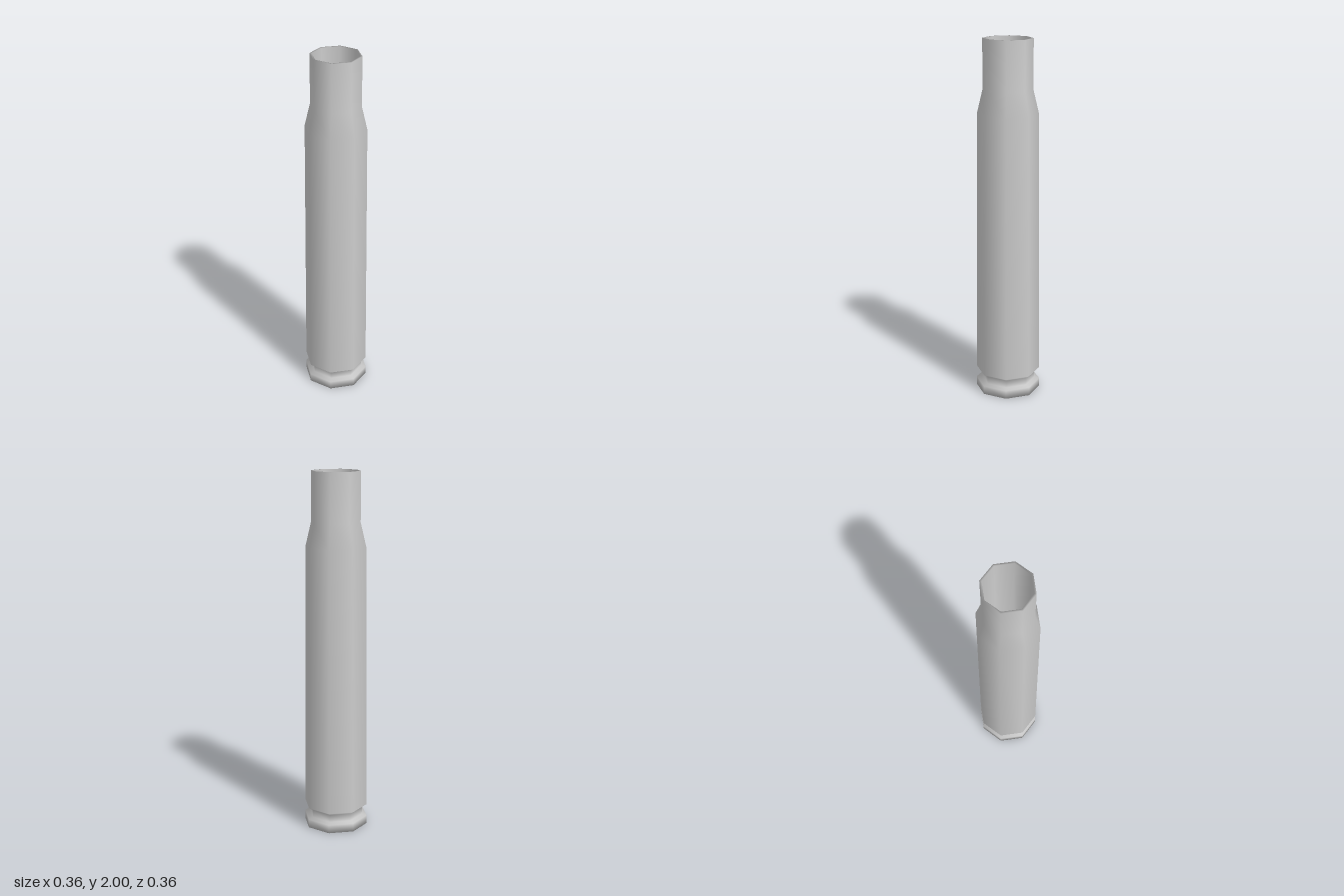
import * as THREE from 'three';

export function createModel() {
  const group = new THREE.Group();
  group.name = 'cartridgeCase';

  // Profile [radius, height]: up the outside, over the mouth, down the bore
  const profile = [
    [0, 0], [0.182, 0],                              // base
    [0.182, 0.048], [0.153, 0.055],                  // extractor rim
    [0.153, 0.098], [0.18, 0.116],                   // groove
    [0.167, 1.6],                                    // tapering body
    [0.136, 1.73],                                   // shoulder
    [0.136, 2], [0.125, 2],                          // neck and mouth
    [0.125, 0.15], [0, 0.15],                        // bore and its floor
  ].map(([r, y]) => new THREE.Vector2(r, y));

  // Eight-sided, smoothly shaded, corners on the x and z axes
  const shell = new THREE.Mesh(
    new THREE.LatheGeometry(profile, 8),
    new THREE.MeshStandardMaterial({ color: 0xcccccc })
  );
  shell.name = 'caseShell';
  group.add(shell);
  return group;
}
